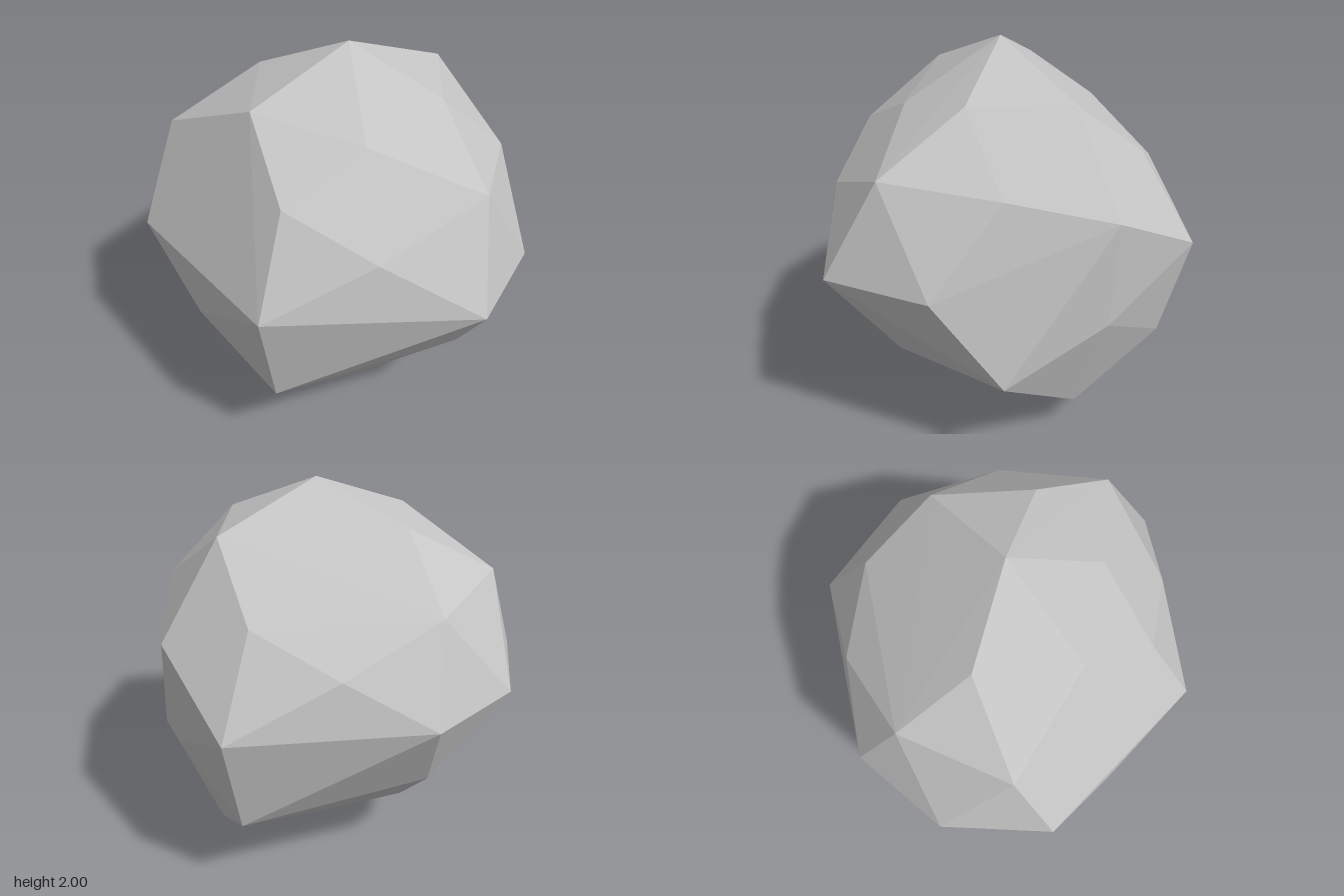
import * as THREE from 'three';
import { ConvexGeometry } from 'three/addons/geometries/ConvexGeometry.js';

// Radius of each corner, grouped by direction; sign order is + before -, x then y then z.
// A zero marks a corner that has been chipped away flat.
const groups = [
  [[1, 0, 0], [0.924, 1.017]],
  [[0, 1, 0], [0.952, 1.048]],
  [[0, 0, 1], [1.004, 1.016]],
  [[0.526, 0.851, 0], [0.878, 0, 0.888, 0.935]],
  [[0, 0.526, 0.851], [0.873, 0.855, 1.04, 1.032]],
  [[0.851, 0, 0.526], [1.037, 0, 1.03, 0.965]],
  [[0.309, 0.809, 0.5], [0.807, 0.928, 0.865, 1.05, 0.912, 0, 1.04, 0.84]],
  [[0.5, 0.309, 0.809], [0.876, 0.912, 0, 0.872, 0, 0.855, 0.935, 0]],
  [[0.809, 0.5, 0.309], [0.96, 0.857, 0.87, 0.976, 1.0, 0.918, 0, 0.88]],
];

// Mirror every group into all its directions and place the corners
function cornerPoints() {
  const points = [];
  const signs = (v) => (v === 0 ? [0] : [1, -1]);
  for (const [[x, y, z], radii] of groups) {
    let i = 0;
    for (const sx of signs(x)) for (const sy of signs(y)) for (const sz of signs(z)) {
      const r = radii[i++];
      if (r > 0) {
        points.push(new THREE.Vector3(
          sx * x * r * 1.03 + 0.048,
          sy * y * r + 1.048,
          sz * z * r * 0.99 + 0.006,
        ));
      }
    }
  }
  return points;
}

export function createModel() {
  const group = new THREE.Group();
  group.name = 'boulder';

  const stone = new THREE.MeshStandardMaterial({ color: 0xc5c5c5, flatShading: true });
  stone.name = 'stone grey';

  // Chipped rock: flat facets stretched around the corners
  const rock = new THREE.Mesh(new ConvexGeometry(cornerPoints()), stone);
  rock.name = 'rock';
  group.add(rock);
  return group;
}
